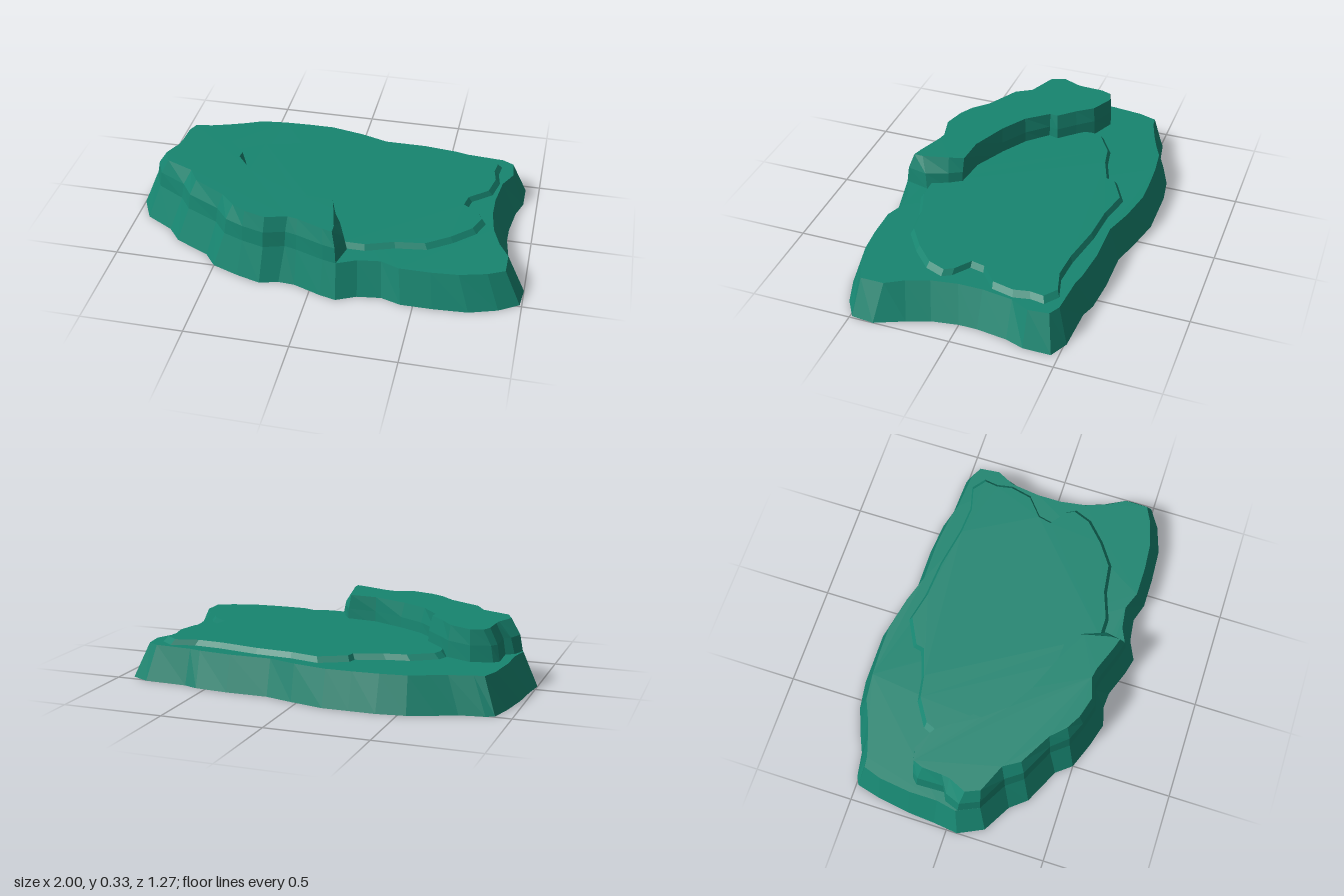
import * as THREE from 'three';

const COLOR = 0x178570;

// Outlines are x,z pairs running back-left -> back-right -> front -> left.
const baseFoot = [
  -.92, -.49, -.88, -.51, -.76, -.53, -.67, -.57, -.54, -.62, -.4, -.64, -.27, -.64, -.14, -.64,
  .03, -.6, .17, -.56, .38, -.56, .55, -.545, .62, -.52, .84, -.51, .93, -.465, .93, -.33,
  .9, -.24, .88, -.09, .88, 0, .9, .13, .94, .24, 1, .38, .99, .49, .895, .55,
  .76, .595, .59, .605, .44, .605, .345, .575, .23, .59, .135, .635, .055, .615, -.08, .565,
  -.16, .56, -.25, .585, -.37, .55, -.5, .5, -.56, .425, -.735, .34, -.8, .26, -.94, .18,
  -1, .055, -.985, -.07, -.975, -.21, -.95, -.37];
const baseRim = [
  -.86, -.46, -.81, -.465, -.7, -.5, -.62, -.53, -.53, -.57, -.4, -.585, -.27, -.59, -.14, -.59,
  .03, -.555, .17, -.51, .38, -.51, .55, -.49, .61, -.475, .8, -.46, .855, -.43, .865, -.33,
  .82, -.24, .8, -.09, .8, .03, .82, .16, .86, .27, .91, .355, .91, .47, .83, .51,
  .7, .545, .57, .555, .42, .555, .33, .52, .22, .535, .125, .58, .06, .565, -.08, .515,
  -.14, .5, -.24, .53, -.35, .5, -.45, .46, -.515, .38, -.68, .3, -.74, .22, -.88, .14,
  -.93, .03, -.91, -.07, -.91, -.21, -.89, -.37];
const ledgeFoot = [
  .125, .58, .06, .565, -.08, .515, -.14, .5, -.24, .53, -.35, .5, -.45, .46, -.515, .38,
  -.68, .3, -.74, .22, -.88, .14, -.925, .04, -.9, -.03, -.86, -.05, -.865, -.19, -.84, -.215,
  -.735, -.245, -.61, -.19, -.54, -.11, -.465, -.03, -.48, .02, -.38, .12, -.25, .2, -.09, .28,
  .07, .3, .11, .36, .155, .46];
const ledgeTop = [
  .1, .545, .05, .53, -.08, .48, -.13, .47, -.235, .5, -.34, .47, -.41, .43, -.48, .36,
  -.64, .27, -.69, .19, -.83, .13, -.86, .06, -.82, -.03, -.815, -.07, -.81, -.17, -.79, -.22,
  -.73, -.235, -.62, -.18, -.56, -.1, -.485, -.02, -.49, .02, -.4, .13, -.27, .21, -.09, .285,
  .05, .295, .07, .37, .1, .5];
const slabFoot = [
  -.61, -.2, -.59, -.25, -.47, -.325, -.355, -.345, -.215, -.395, -.205, -.44, -.07, -.51, .08, -.475,
  .27, -.46, .48, -.42, .62, -.41, .74, -.44, .805, -.39, .795, -.32, .81, -.24, .785, -.13,
  .69, -.05, .675, .02, .755, .08, .78, .125, .745, .215, .645, .31, .53, .39, .38, .41,
  .24, .46, .13, .46, -.05, .35, -.3, .25, -.5, .1, -.6, -.1];

const toPoints = (a) => Array.from({ length: a.length / 2 }, (_, i) => new THREE.Vector2(a[2 * i], a[2 * i + 1]));
const blend = (a, b, t) => a.map((p, i) => p.clone().lerp(b[i], t));

// Stacks outlines ({ y, pts }) into a faceted solid with flat caps.
function loft(name, rings, closeBottom) {
  const pos = [];
  const put = (ring, i) => pos.push(ring.pts[i].x, ring.y, ring.pts[i].y);
  for (let r = 0; r < rings.length - 1; r++) {
    const lo = rings[r], hi = rings[r + 1], n = lo.pts.length;
    for (let i = 0; i < n; i++) {
      const j = (i + 1) % n;
      put(lo, i); put(hi, i); put(hi, j);
      put(lo, i); put(hi, j); put(lo, j);
    }
  }
  const cap = (ring, up) => {
    for (const [a, b, c] of THREE.ShapeUtils.triangulateShape(ring.pts.slice(), [])) {
      const [A, B, C] = [ring.pts[a], ring.pts[b], ring.pts[c]];
      const facesDown = (B.x - A.x) * (C.y - A.y) - (B.y - A.y) * (C.x - A.x) > 0;
      (facesDown === up ? [a, c, b] : [a, b, c]).forEach((i) => put(ring, i));
    }
  };
  cap(rings[rings.length - 1], true);
  if (closeBottom) cap(rings[0], false);
  const geo = new THREE.BufferGeometry();
  geo.setAttribute('position', new THREE.Float32BufferAttribute(pos, 3));
  geo.computeVertexNormals();
  const mesh = new THREE.Mesh(geo, new THREE.MeshStandardMaterial({ color: COLOR, flatShading: true }));
  mesh.name = name;
  return mesh;
}

export function createModel() {
  const group = new THREE.Group();
  group.name = 'rockPlatform';

  // Broad base with sloping sides
  group.add(loft('base', [
    { y: 0, pts: toPoints(baseFoot) },
    { y: 0.175, pts: toPoints(baseRim) }], true));

  // Thin raised slab, its rim drawn in towards the middle
  const slab = toPoints(slabFoot);
  const centre = new THREE.Vector2(0.15, -0.03);
  group.add(loft('slab', [
    { y: 0.17, pts: slab },
    { y: 0.202, pts: slab.map((p) => p.clone().lerp(centre, 0.04)) }], false));

  // Tall ledge along the front right edge, bevelled at the top
  const foot = toPoints(ledgeFoot), top = toPoints(ledgeTop);
  group.add(loft('upperLedge', [
    { y: 0.175, pts: foot },
    { y: 0.255, pts: blend(foot, top, 0.25) },
    { y: 0.33, pts: top }], false));

  return group;
}
